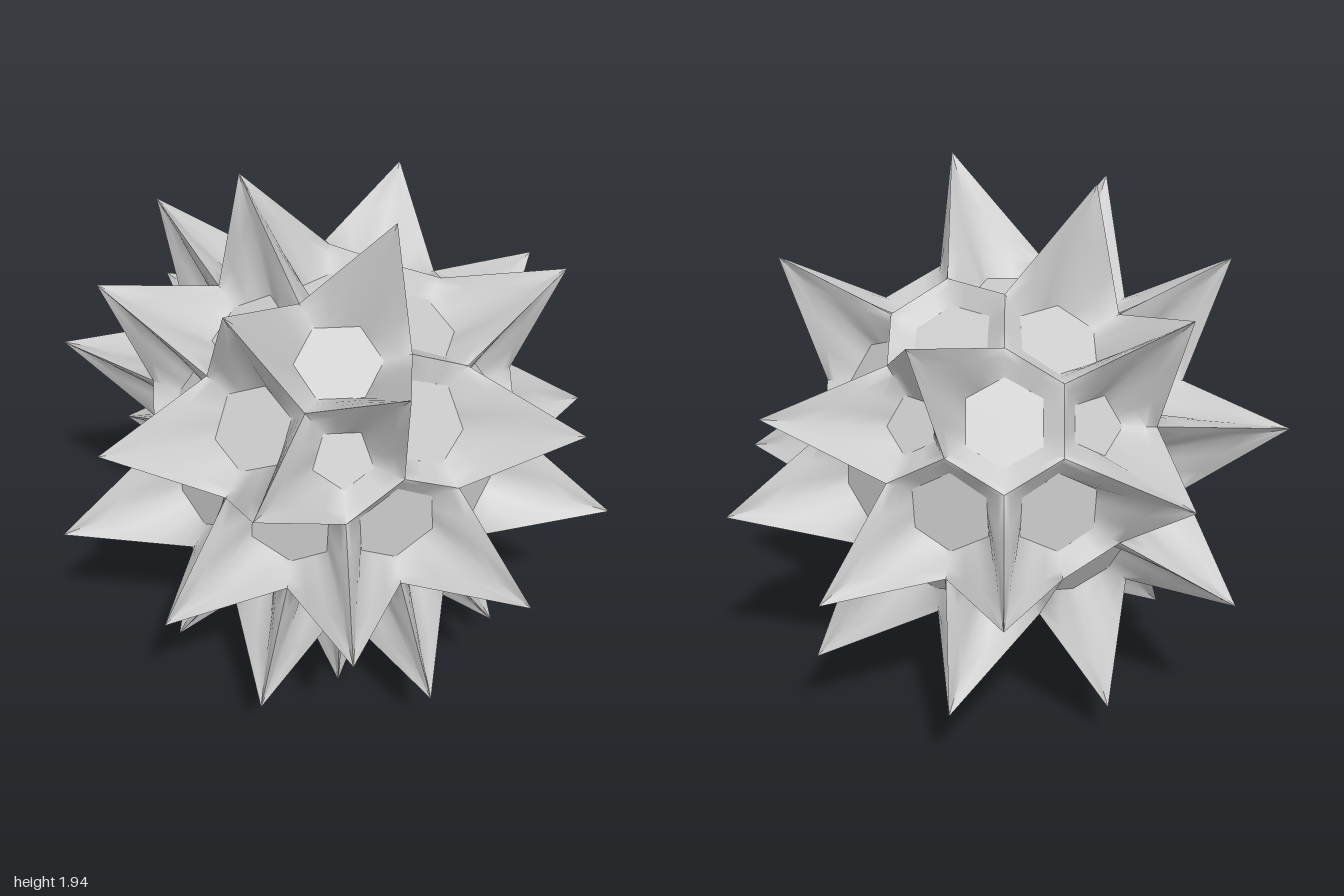
import * as THREE from 'three';
import { toCreasedNormals } from 'three/addons/utils/BufferGeometryUtils.js';

const TIP = 1.018, LOW = 0.66, PANEL = 0.57;   // radii of spikes, plain corners and panels
const HEX = 0.147, PENT = 0.104;               // panel circumradii
const STEPS = 3;                               // divisions of each wall

// Unit direction from elevation and azimuth in degrees
function dir(elevation, azimuth) {
  const e = THREE.MathUtils.degToRad(elevation), a = THREE.MathUtils.degToRad(azimuth);
  return new THREE.Vector3(Math.cos(e) * Math.cos(a), Math.sin(e), Math.cos(e) * Math.sin(a));
}

// Corners drawn out to a spike: elevation, then azimuths
const SPIKES = [
  [72.1, 36, 180], [52.6, 108], [40.4, 346.2, 58.2, 157.8, 202.2, 274.2],
  [19.9, 18.1, 90.1, 125.9, 306.1], [8.7, 216], [10.8, 180],
  [-10.8, 0, 72, 144, 288], [-8.7, 36, 108, 252, 324], [-19.9, 198.1],
  [-40.4, 49.8, 94.2, 265.8, 310.2], [-52.6, 0, 144, 216], [-72.1, 72, 288],
].flatMap(([e, ...list]) => list.map((a) => dir(e, a)));

// Cells (12 pentagons, 30 hexagons) and the 80 corners between them
function layout() {
  const poles = [dir(90, 0), dir(-90, 0)];
  for (let i = 0; i < 5; i++) poles.push(dir(26.565, i * 72), dir(-26.565, i * 72 + 36));
  const near = (a, b) => a.dot(b) > 0.4;
  const cells = poles.map((p) => ({ centre: p, size: PENT, name: 'pentagonPanel' }));
  const corners = [];
  poles.forEach((a, i) => poles.forEach((b, j) => {
    if (j <= i || !near(a, b)) return;
    cells.push({ centre: a.clone().add(b).normalize(), size: HEX, name: 'hexagonPanel' });
    poles.forEach((c, k) => {
      if (k <= j || !near(a, c) || !near(b, c)) return;
      const f = a.clone().add(b).add(c).normalize();
      corners.push(f);
      for (const p of [a, b, c]) {
        corners.push(p.clone().multiplyScalar(0.5496).addScaledVector(f, 0.506).normalize());
      }
    });
  }));
  return { cells, corners };
}

// Corners of one cell, in order anticlockwise seen from outside
function ringOf(cell, corners) {
  const n = cell.centre;
  const u = new THREE.Vector3(0.31, 0.52, 0.79).cross(n).normalize();
  const v = n.clone().cross(u);
  return corners.filter((c) => c.dot(n) > 0.89)
    .map((c) => ({ c, angle: Math.atan2(c.dot(v), c.dot(u)) }))
    .sort((p, q) => p.angle - q.angle).map((p) => p.c);
}

function geometryFrom(points) {
  return new THREE.BufferGeometry().setFromPoints(points);
}

export function createModel() {
  const group = new THREE.Group();
  group.name = 'spikedBall';
  const material = new THREE.MeshStandardMaterial({ color: 0xcccccc });
  const { cells, corners } = layout();
  const walls = [];

  for (const cell of cells) {
    const ring = ringOf(cell, corners);
    const centre = cell.centre.clone().multiplyScalar(PANEL);
    const outer = ring.map((c) =>
      c.clone().multiplyScalar(SPIKES.some((s) => s.dot(c) > 0.99) ? TIP : LOW));
    const inner = ring.map((c) => c.clone().projectOnPlane(cell.centre)
      .setLength(cell.size).add(centre));
    const panel = [];

    ring.forEach((_, i) => {
      const j = (i + 1) % ring.length;
      panel.push(centre, inner[i], inner[j]);

      // Wall from the ridge down to the panel edge
      const at = (s, t) => outer[i].clone().lerp(outer[j], s / STEPS)
        .lerp(inner[i].clone().lerp(inner[j], s / STEPS), t / STEPS);
      for (let s = 0; s < STEPS; s++) {
        for (let t = 0; t < STEPS; t++) {
          const a = at(s, t), b = at(s + 1, t), c = at(s + 1, t + 1), d = at(s, t + 1);
          // Mirror the diagonals about the middle of the wall
          if (s < STEPS / 2) walls.push(a, b, c, a, c, d);
          else walls.push(a, b, d, b, c, d);
        }
      }
    });

    // Flat sunken panel
    const geometry = geometryFrom(panel);
    geometry.computeVertexNormals();
    const mesh = new THREE.Mesh(geometry, material);
    mesh.name = cell.name;
    group.add(mesh);
  }

  // Ridges and spikes as one shell, soft except along the sharp spike edges
  const shell = new THREE.Mesh(toCreasedNormals(geometryFrom(walls), Math.PI * 0.5), material);
  shell.name = 'spikedFrame';
  group.add(shell);

  group.position.y = TIP * Math.sin(THREE.MathUtils.degToRad(72.1));
  const model = new THREE.Group();
  model.name = 'spikyOrnament';
  model.add(group);
  return model;
}
